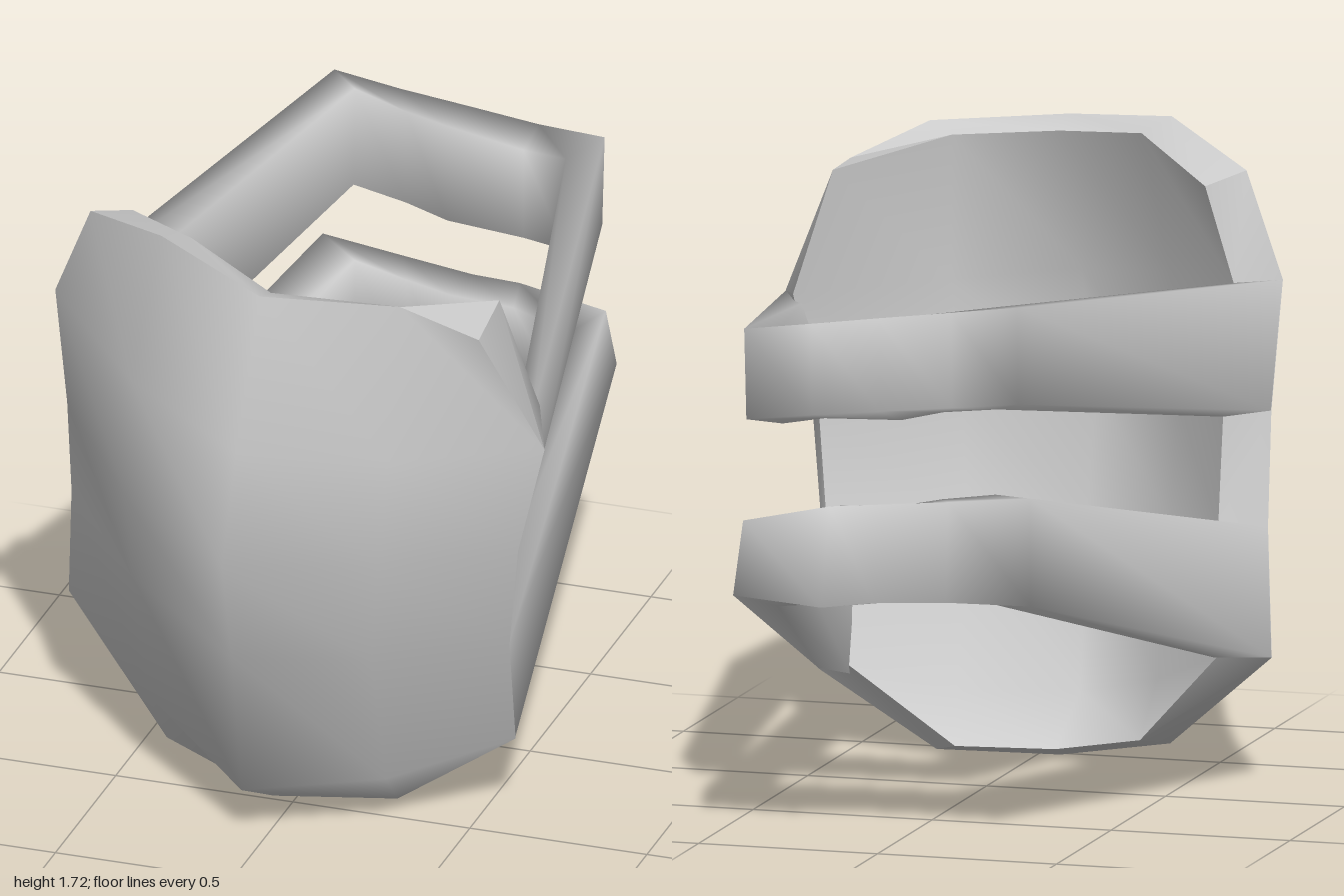
import * as THREE from 'three';
import { mergeVertices, toCreasedNormals } from 'three/addons/utils/BufferGeometryUtils.js';

// Indexed geometry from points and quads (corners counter-clockwise)
function quadGeometry(points, quads) {
  const g = new THREE.BufferGeometry();
  g.setAttribute('position', new THREE.Float32BufferAttribute(points.flat(), 3));
  g.setIndex(quads.flatMap(([a, b, c, d]) => [a, b, c, a, c, d]));
  const welded = mergeVertices(g, 1e-4);
  welded.computeVertexNormals();
  return welded;
}

// Outer face of the guard: rows from top to bottom, each from -x to +x
const OUTER = [
  [[-0.595, 1.63, 0.43], [-0.31, 1.715, 0.68], [0.03, 1.67, 0.86], [0.39, 1.65, 0.76], [0.59, 1.55, 0.69]],
  [[-0.715, 1.35, 0.37], [-0.38, 1.30, 0.73], [0.0, 1.25, 0.97], [0.38, 1.22, 0.83], [0.74, 1.2, 0.585]],
  [[-0.695, 1.0, 0.33], [-0.4, 0.95, 0.72], [-0.03, 0.92, 1.0], [0.35, 0.9, 0.82], [0.66, 0.88, 0.57]],
  [[-0.71, 0.7, 0.25], [-0.42, 0.65, 0.6], [-0.04, 0.6, 0.89], [0.3, 0.57, 0.73], [0.605, 0.55, 0.48]],
  [[-0.745, 0.36, 0.17], [-0.42, 0.24, 0.47], [-0.06, 0.14, 0.75], [0.29, 0.15, 0.58], [0.585, 0.22, 0.37]],
  [[-0.745, 0.36, 0.17], [-0.4, 0.07, 0.37], [-0.06, 0.0, 0.48], [0.265, 0.01, 0.41], [0.585, 0.22, 0.37]],
];
// Inner face of the guard, in the same order
const INNER = [
  [[-0.51, 1.6, 0.33], [-0.25, 1.68, 0.6], [0.03, 1.64, 0.77], [0.32, 1.62, 0.73], [0.57, 1.56, 0.46]],
  [[-0.59, 1.34, 0.33], [-0.32, 1.3, 0.63], [0.0, 1.25, 0.87], [0.33, 1.22, 0.76], [0.66, 1.23, 0.39]],
  [[-0.57, 1.0, 0.3], [-0.34, 0.95, 0.63], [-0.03, 0.92, 0.9], [0.3, 0.9, 0.75], [0.63, 0.88, 0.53]],
  [[-0.58, 0.7, 0.22], [-0.36, 0.65, 0.51], [-0.04, 0.6, 0.79], [0.25, 0.57, 0.66], [0.575, 0.56, 0.43]],
  [[-0.6, 0.36, 0.155], [-0.36, 0.24, 0.38], [-0.06, 0.14, 0.66], [0.24, 0.15, 0.51], [0.5, 0.25, 0.33]],
  [[-0.6, 0.36, 0.155], [-0.34, 0.09, 0.29], [-0.07, 0.03, 0.4], [0.2, 0.03, 0.365], [0.5, 0.25, 0.33]],
];

function buildGuard(material) {
  const group = new THREE.Group();
  group.name = 'guardPlate';
  const R = OUTER.length, C = 5;
  const outer = OUTER.flat(), inner = INNER.flat();
  const front = [];
  for (let r = 0; r < R - 1; r++) {
    for (let c = 0; c < C - 1; c++) {
      const a = r * C + c;
      front.push([a, a + C, a + C + 1, a + 1]);
    }
  }
  // Border of the sheet, counter-clockwise seen from the front
  const loop = [];
  for (let r = 0; r < R - 1; r++) loop.push(r * C);
  for (let c = 0; c < C - 1; c++) loop.push((R - 1) * C + c);
  for (let r = R - 1; r > 0; r--) loop.push(r * C + C - 1);
  for (let c = C - 1; c > 0; c--) loop.push(c);
  const n = outer.length;
  const rim = loop.map((a, i) => {
    const b = loop[(i + 1) % loop.length];
    return [a, a + n, b + n, b];
  });
  const parts = {
    guardFront: quadGeometry(outer, front),
    guardBack: quadGeometry(inner, front.map((q) => [...q].reverse())),
    guardRim: toCreasedNormals(quadGeometry([...outer, ...inner], rim), 0.6),
  };
  for (const [name, geometry] of Object.entries(parts)) {
    const mesh = new THREE.Mesh(geometry, material);
    mesh.name = name;
    group.add(mesh);
  }
  return group;
}

// Strap swept through sections: outer top, outer bottom, inner bottom, inner top
function buildStrap(name, sections, material) {
  const quads = [];
  for (let i = 0; i < sections.length - 1; i++) {
    for (let k = 0; k < 4; k++) {
      const a = i * 4 + k, b = i * 4 + ((k + 1) % 4);
      quads.push([a, b, b + 4, a + 4]);
    }
  }
  const mesh = new THREE.Mesh(quadGeometry(sections.flat(), quads), material);
  mesh.name = name;
  return mesh;
}

// Both straps run from the +x edge of the guard, around the back, to the -x edge;
// their open ends are sunk into the guard's rim
const UPPER = [
  [[0.738, 1.2, 0.58], [0.658, 0.88, 0.565], [0.57, 0.88, 0.52], [0.645, 1.2, 0.42]],
  [[0.4, 1.39, -0.91], [0.4, 1.14, -0.89], [0.335, 1.11, -0.77], [0.335, 1.375, -0.78]],
  [[0.22, 1.41, -0.89], [0.22, 1.16, -0.88], [0.22, 1.13, -0.765], [0.22, 1.39, -0.765]],
  [[0.03, 1.435, -0.885], [0.03, 1.18, -0.88], [0.0, 1.14, -0.78], [0.0, 1.42, -0.78]],
  [[-0.17, 1.46, -0.88], [-0.17, 1.2, -0.875], [-0.12, 1.17, -0.79], [-0.12, 1.44, -0.79]],
  [[-0.355, 1.485, -0.885], [-0.355, 1.22, -0.875], [-0.275, 1.19, -0.81], [-0.275, 1.47, -0.82]],
  [[-0.714, 1.35, 0.368], [-0.694, 1.0, 0.33], [-0.575, 0.98, 0.31], [-0.59, 1.34, 0.34]],
];
const LOWER = [
  [[0.603, 0.55, 0.478], [0.583, 0.22, 0.37], [0.49, 0.21, 0.36], [0.5, 0.53, 0.42]],
  [[0.4, 0.87, -0.92], [0.405, 0.68, -0.995], [0.335, 0.62, -0.81], [0.34, 0.855, -0.79]],
  [[0.16, 0.92, -0.91], [0.16, 0.66, -0.995], [0.18, 0.635, -0.8], [0.18, 0.9, -0.8]],
  [[0.03, 0.93, -0.9], [0.03, 0.67, -0.94], [0.0, 0.65, -0.8], [0.0, 0.91, -0.8]],
  [[-0.17, 0.95, -0.91], [-0.17, 0.68, -0.93], [-0.12, 0.66, -0.8], [-0.12, 0.935, -0.8]],
  [[-0.4, 0.975, -0.92], [-0.41, 0.685, -0.94], [-0.275, 0.66, -0.82], [-0.275, 0.96, -0.82]],
  [[-0.71, 0.7, 0.248], [-0.744, 0.36, 0.17], [-0.59, 0.35, 0.17], [-0.58, 0.69, 0.23]],
];

export function createModel() {
  const lightGrey = new THREE.MeshStandardMaterial({ color: 0xcccccc });
  lightGrey.name = 'lightGrey';
  const model = new THREE.Group();
  model.name = 'strappedGuard';
  model.add(
    buildGuard(lightGrey),
    buildStrap('upperStrap', UPPER, lightGrey),
    buildStrap('lowerStrap', LOWER, lightGrey),
  );
  return model;
}
